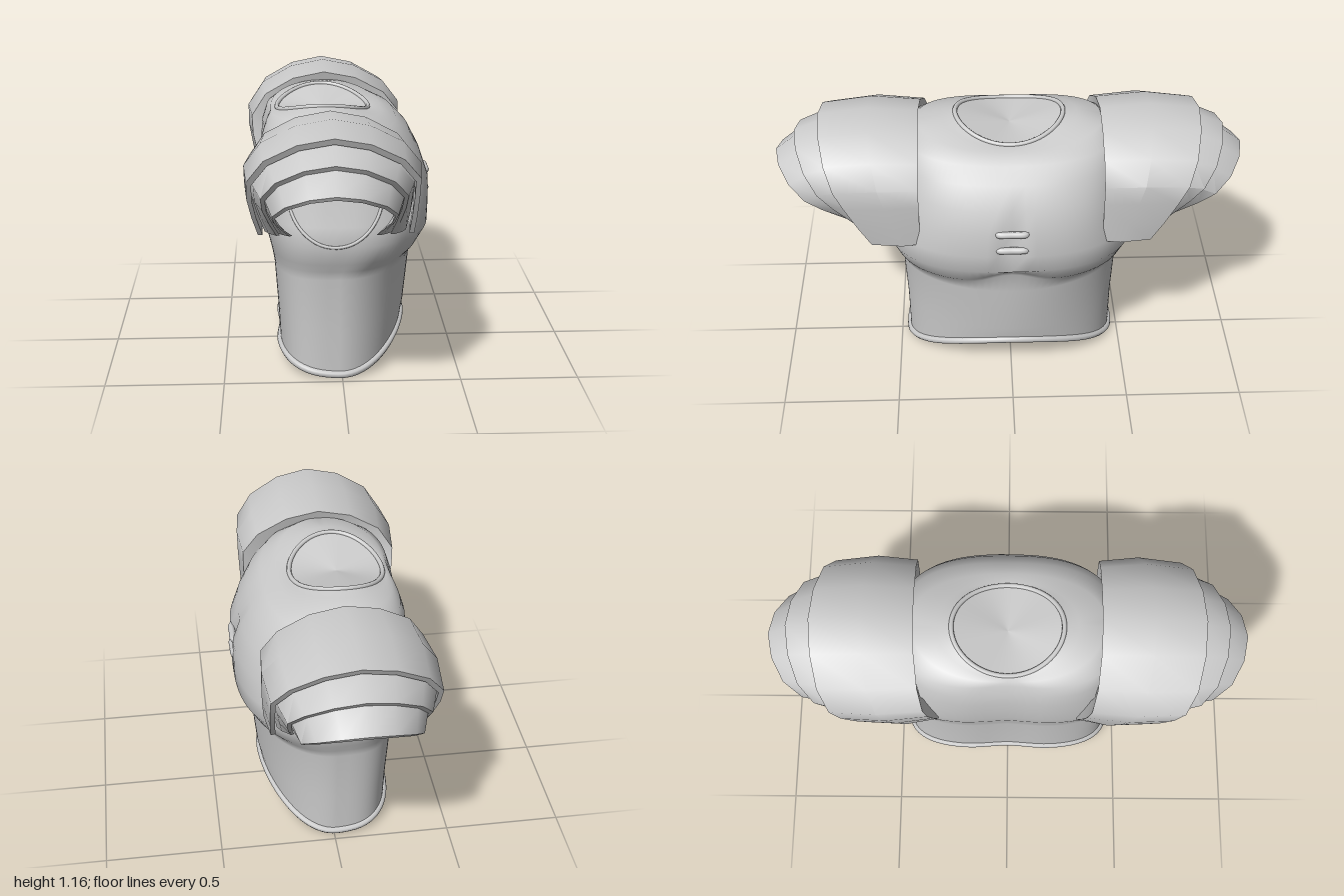
import * as THREE from 'three';
import { toCreasedNormals } from 'three/addons/utils/BufferGeometryUtils.js';

const material = new THREE.MeshStandardMaterial({ color: 0xcccccc, side: THREE.DoubleSide });
const N = 96;

// Skin a list of equal-length rings; optionally wrap round each ring or join last ring to first
function loft(rings, wrapRing, wrapLoop) {
  const n = rings[0].length, m = rings.length, index = [];
  for (let i = 0; i < (wrapLoop ? m : m - 1); i++) {
    for (let j = 0; j < (wrapRing ? n : n - 1); j++) {
      const i2 = (i + 1) % m, j2 = (j + 1) % n;
      const a = i * n + j, b = i * n + j2, c = i2 * n + j, d = i2 * n + j2;
      index.push(a, c, b, b, c, d);
    }
  }
  // close both ends of a solid band
  if (wrapLoop) for (let i = 1; i < m - 1; i++) {
    index.push(0, (i + 1) * n, i * n);
    index.push(n - 1, i * n + n - 1, (i + 1) * n + n - 1);
  }
  const g = new THREE.BufferGeometry().setFromPoints(rings.flat());
  g.setIndex(index);
  g.computeVertexNormals();
  return g;
}

function add(parent, name, geometry) {
  const mesh = new THREE.Mesh(geometry, material);
  mesh.name = name;
  parent.add(mesh);
}

function tube(points, radius, closed, segments) {
  return new THREE.TubeGeometry(new THREE.CatmullRomCurve3(points, closed), segments, radius, 8, closed);
}

// Torso sections: y, back x, front x, half width z, centre x, dip towards z = 0
const sections = [
  [0.02, -0.265, 0.278, 0.46, -0.01, 0],
  [0.22, -0.272, 0.292, 0.463, -0.01, 0],
  [0.45, -0.288, 0.314, 0.475, -0.01, 0],
  [0.49, -0.295, 0.32, 0.487, 0, 0],
  [0.525, -0.302, 0.348, 0.502, 0, 0],
  [0.61, -0.322, 0.386, 0.53, 0, 0],
  [0.69, -0.335, 0.389, 0.515, 0, 0],
  [0.8, -0.342, 0.387, 0.49, 0, 0],
  [0.9, -0.342, 0.352, 0.475, 0, 0],
  [0.99, -0.335, 0.305, 0.46, 0, 0],
  [1.06, -0.315, 0.245, 0.44, -0.02, 0.01],
  [1.11, -0.295, 0.185, 0.395, -0.04, 0.035],
  [1.122, -0.278, 0.145, 0.29, -0.06, 0.045],
  [1.13, -0.265, 0.13, 0.23, -0.07, 0.05],
];
const hem = (x) => 0.017 + (x > 0 ? 1.7 : 0.85) * x * x;
const power = (v, p) => Math.sign(v) * Math.abs(v) ** p;

// Squareness of a section: flat back, front pinched at the waist and fuller at the chest
const squareness = (y, front) =>
  front ? THREE.MathUtils.lerp(1.9, 2.55, THREE.MathUtils.smoothstep(y, 0.4, 0.65)) : 3.3;

function sectionRing([y, xb, xf, w, cx, dip], k) {
  const ring = [];
  const neck = THREE.MathUtils.clamp((y - 1.06) / 0.07, 0, 1);
  for (let j = 0; j < N; j++) {
    const t = (j / N) * Math.PI * 2, front = Math.cos(t) >= 0;
    const e = 2 / THREE.MathUtils.lerp(squareness(y, front), 2, neck);
    let x = cx + power(Math.cos(t), e) * (front ? xf - cx : cx - xb);
    const z = w * power(Math.sin(t), e);
    let py = k === 0 ? hem(x) : y - dip * (1 - (z / w) ** 2);
    if (front) {
      // breast edge rises at the middle, with a slit behind the clasps
      if (y > 0.47 && y < 0.6) py += 0.055 * Math.exp(-((z / 0.13) ** 2));
      if (y > 0.65 && y < 0.85) x -= 0.025 * Math.exp(-((z / 0.03) ** 2));
    } else {
      x += 0.015 * Math.exp(-((z / 0.12) ** 2)) * (1 - neck); // spine hollow
    }
    ring.push(new THREE.Vector3(x, py, z));
  }
  return ring;
}

// Side surface of the torso at a given x and y
function sideZ(x, y) {
  let i = 0;
  while (i < sections.length - 2 && sections[i + 1][0] < y) i++;
  const a = sections[i], b = sections[i + 1], f = (y - a[0]) / (b[0] - a[0]);
  const [, xb, xf, w] = a.map((v, k) => v + (b[k] - v) * f);
  const n = squareness(y, x > 0);
  return w * (1 - Math.abs(x / (x > 0 ? xf : xb)) ** n) ** (1 / n);
}

// Shoulder arch from the back over the top to the front, normalised
const archX = [-0.88, -0.95, -1, -1, -0.8, -0.42, 0, 0.42, 0.8, 1, 1, 0.99, 0.97];
const archY = [0, 0.2, 0.4, 0.58, 0.79, 0.94, 1, 0.94, 0.79, 0.6, 0.42, 0.2, 0];

// half width, top y, top z, bottom z, narrowing of the ends, wrap of the back end round the torso
function arch([hw, top, zTop, zBottom, taper = 0, wrap = 0], side) {
  const ring = archX.map((u, j) => {
    const v = archY[j];
    const pull = u < 0 ? wrap * (1 - v) : 0;
    const narrow = 1 - taper * Math.max(0, 1 - v / 0.5);
    return new THREE.Vector3(
      -0.047 + hw * u * narrow + pull * 0.25,
      0.69 + (top - 0.69) * v,
      side * (zBottom + (zTop - zBottom) * v * (1.25 - 0.25 * v) - pull));
  });
  return side < 0 ? ring.reverse() : ring;
}

// Outer surface outwards, then inner surface back again; the upper plate has a flange onto the torso
const bands = {
  upperShoulderPlate: [
    [0.342, 1.148, 0.385, 0.385, 0, 0.09], [0.355, 1.165, 0.6, 0.46, 0, 0.03], [0.338, 1.14, 0.81, 0.59],
    [0.318, 1.115, 0.8, 0.585], [0.332, 1.14, 0.6, 0.46, 0, 0.03], [0.318, 1.12, 0.42, 0.4, 0, 0.09],
    [0.265, 1.085, 0.4, 0.395, 0, 0.09]],
  middleShoulderPlate: [
    [0.325, 1.125, 0.7, 0.54, 0.05], [0.312, 1.11, 0.8, 0.57, 0.07], [0.283, 1.063, 0.915, 0.6, 0.1],
    [0.266, 1.045, 0.905, 0.595, 0.1], [0.295, 1.09, 0.79, 0.565, 0.1], [0.305, 1.105, 0.7, 0.535, 0.08]],
  lowerShoulderPlate: [
    [0.282, 1.075, 0.82, 0.57, 0.12], [0.265, 1.042, 0.905, 0.59, 0.14], [0.24, 0.97, 1.0, 0.61, 0.18],
    [0.228, 0.955, 0.993, 0.605, 0.2], [0.25, 1.02, 0.9, 0.585, 0.18], [0.265, 1.055, 0.82, 0.565, 0.16]],
};

export function createModel() {
  const model = new THREE.Group();
  model.name = 'breastplateArmour';

  // Body shell
  const rings = sections.map(sectionRing);
  add(model, 'torso', loft(rings, true, false));

  // Hem and neck: rolled rims and the surfaces closing them
  const hemRing = rings[0], neckRing = rings[rings.length - 1];
  const everyThird = (ring) => ring.filter((_, j) => j % 3 === 0);
  add(model, 'hemRim', tube(everyThird(hemRing), 0.016, true, 96));
  add(model, 'neckRim', tube(everyThird(neckRing), 0.01, true, 80));
  const centre = (x, y) => Array.from({ length: N }, () => new THREE.Vector3(x, y, 0));
  add(model, 'underside', loft([centre(0, 0.11), hemRing], true, false));
  add(model, 'neckOpening', loft([neckRing, centre(-0.07, 1.075)], true, false));

  // Clasps across the chest slit
  for (const y of [0.72, 0.8]) {
    const path = [[0.355, -0.064], [0.378, -0.058], [0.382, 0], [0.378, 0.058], [0.355, 0.064]]
      .map(([x, z]) => new THREE.Vector3(x, y, z));
    add(model, 'chestClasp', tube(path, 0.015, false, 24));
  }

  for (const side of [1, -1]) {
    const shoulder = new THREE.Group();
    shoulder.name = side > 0 ? 'leftShoulder' : 'rightShoulder';
    model.add(shoulder);

    // Armhole edge lying on the torso side
    const edge = [];
    for (let j = 0; j < 20; j++) {
      const t = (j / 20) * Math.PI * 2;
      const x = -0.03 + 0.195 * Math.cos(t), y = 0.83 + 0.22 * Math.sin(t);
      edge.push(new THREE.Vector3(x, y, side * sideZ(x, y)));
    }
    add(shoulder, 'armholeRim', tube(edge, 0.007, true, 60));

    // Overlapping plates
    for (const [name, profile] of Object.entries(bands)) {
      const geometry = loft(profile.map((p) => arch(p, side)), false, true);
      add(shoulder, name, toCreasedNormals(geometry, 0.7));
    }
  }
  return model;
}
